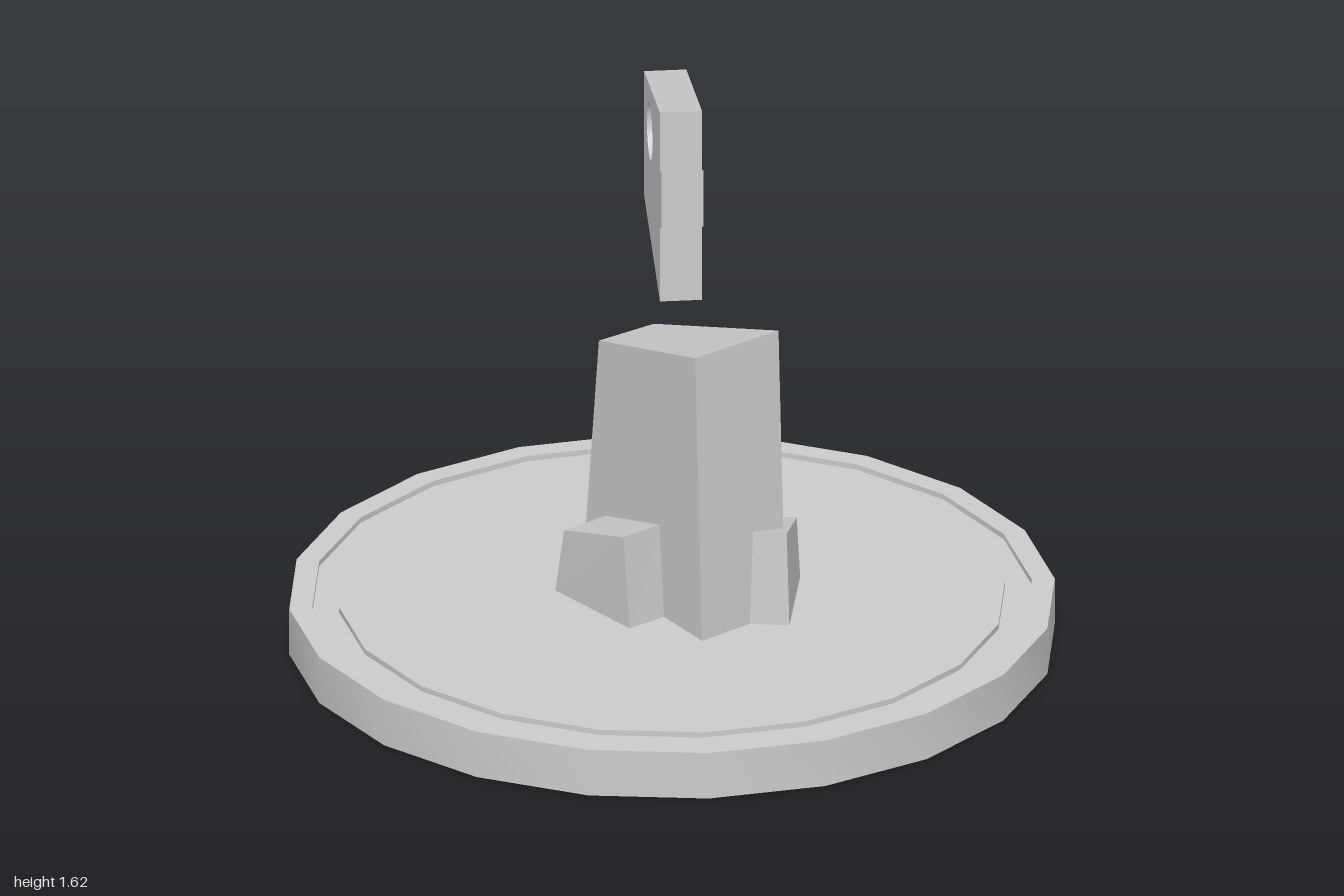
import * as THREE from 'three';
import { toCreasedNormals } from 'three/addons/utils/BufferGeometryUtils.js';

const FLOOR = 0.13;
const material = new THREE.MeshStandardMaterial({ color: 0xcccccc });
const flat = new THREE.MeshStandardMaterial({ color: 0xcccccc, flatShading: true });

function addMesh(group, name, geometry, mat = material) {
  const mesh = new THREE.Mesh(geometry, mat);
  mesh.name = name;
  group.add(mesh);
}

// Six-sided block from [x, z] corners: front left, front right, back right, back left
function taperedBlock(bottom, top, frontY, backY) {
  const corners = [
    ...bottom.map(([x, z]) => [x, FLOOR, z]),
    ...top.map(([x, z], i) => [x, i < 2 ? frontY : backY, z]),
  ];
  const quads = [[3, 2, 1, 0], [4, 5, 6, 7]];
  for (let i = 0; i < 4; i++) {
    const j = (i + 1) % 4;
    quads.push([i, j, j + 4, i + 4]);
  }
  const positions = [];
  for (const [a, b, c, d] of quads) {
    for (const k of [a, b, c, a, c, d]) positions.push(...corners[k]);
  }
  const geometry = new THREE.BufferGeometry();
  geometry.setAttribute('position', new THREE.Float32BufferAttribute(positions, 3));
  geometry.computeVertexNormals();
  return geometry;
}

export function createModel() {
  const group = new THREE.Group();

  // Round base with a shallow groove inside the rim
  const profile = [
    [0, 0], [1, 0], [1, FLOOR], [0.94, FLOOR], [0.94, FLOOR - 0.015],
    [0.87, FLOOR - 0.015], [0.87, FLOOR], [0, FLOOR],
  ].map(([r, y]) => new THREE.Vector2(r, y));
  addMesh(group, 'base', toCreasedNormals(new THREE.LatheGeometry(profile, 20), 0.5));

  // Tall tapered pillar with a sloping top
  addMesh(group, 'pillar', taperedBlock(
    [[0.05, 0.3], [0.283, 0.136], [-0.064, -0.297], [-0.214, -0.195]],
    [[0.035, 0.27], [0.267, 0.118], [-0.025, -0.238], [-0.177, -0.147]],
    0.925, 0.795), flat);

  // Low blocks on both sides of the pillar
  addMesh(group, 'rightBlock', taperedBlock(
    [[-0.13, 0.205], [-0.033, 0.14], [-0.175, -0.135], [-0.3, -0.05]],
    [[-0.145, 0.19], [-0.045, 0.122], [-0.163, -0.1], [-0.28, -0.02]],
    0.385, 0.315), flat);
  addMesh(group, 'leftBlock', taperedBlock(
    [[0.17, 0.203], [0.285, 0.226], [0.342, -0.075], [0.198, -0.103]],
    [[0.175, 0.186], [0.28, 0.207], [0.33, -0.042], [0.193, -0.07]],
    0.385, 0.315), flat);

  // Floating plate with a front tab and a round hole, outlined in z and y
  const outline = new THREE.Shape([
    [0.245, 1.08], [0.245, 1.29], [0.285, 1.308], [0.285, 1.47],
    [0.245, 1.448], [0.245, 1.62], [-0.185, 1.543], [-0.185, 1.187],
  ].map(([z, y]) => new THREE.Vector2(z, y)));
  outline.holes.push(new THREE.Path().absarc(-0.035, 1.44, 0.077, 0, Math.PI * 2, true));
  const plate = new THREE.ExtrudeGeometry(outline, {
    depth: 0.11, bevelEnabled: false, curveSegments: 20,
  });
  plate.translate(0, 0, -0.055).rotateY(-Math.PI / 2);
  addMesh(group, 'floatingPlate', toCreasedNormals(plate, 0.4));

  return group;
}
